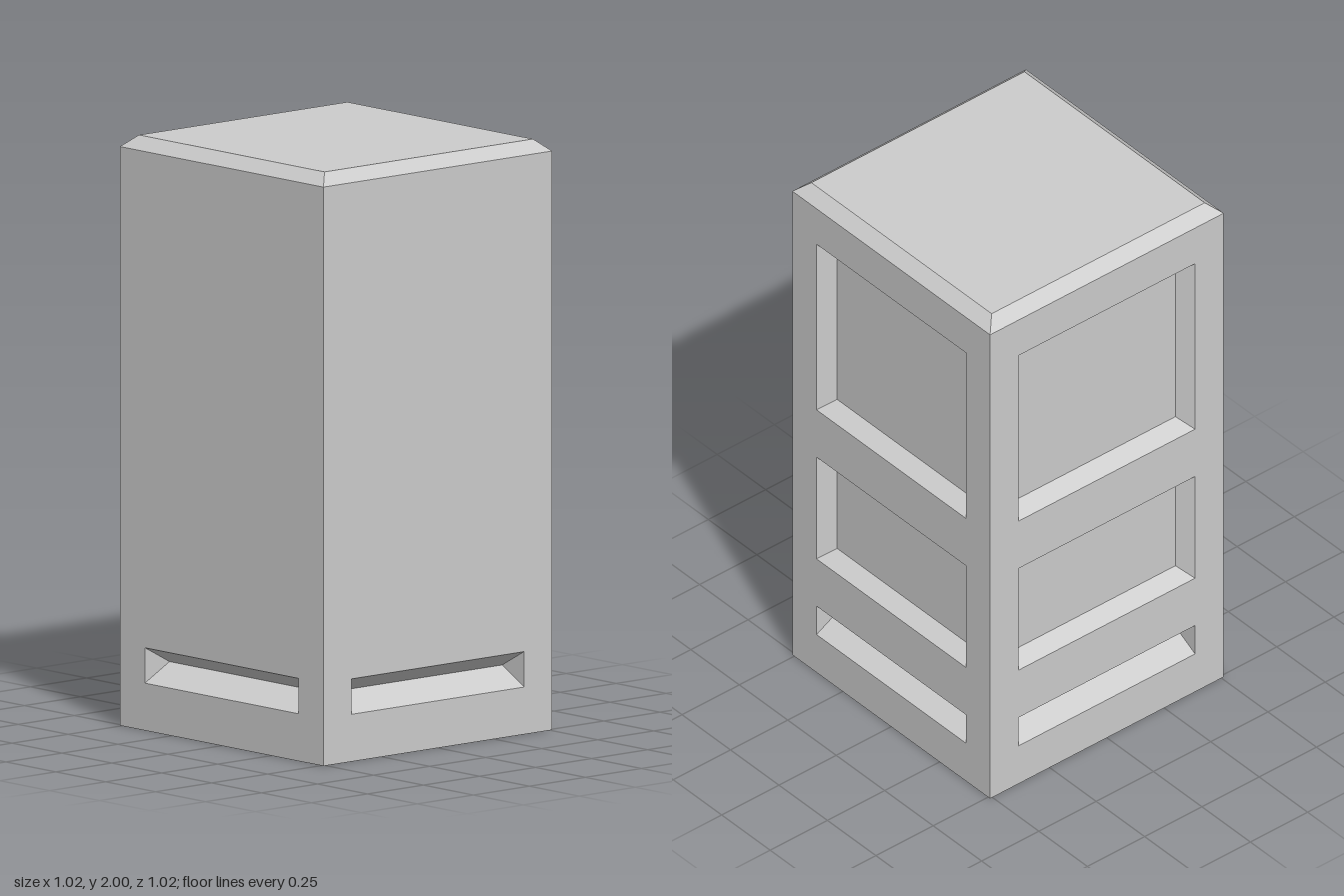
import * as THREE from 'three';

const HALF = 0.51;       // half width of the cabinet
const EAVE = 1.96;       // height where the roof bevel starts
const OPEN = 0.385;      // half width of every opening

// Openings: outer bottom/top, inset of the inner rectangle, depth
const UPPER = { name: 'upperPanel', y0: 1.11, y1: 1.81, insetX: 0.035, insetY: 0.035, depth: 0.06 };
const LOWER = { name: 'lowerPanel', y0: 0.48, y1: 0.91, insetX: 0.035, insetY: 0.035, depth: 0.06 };
const SLOT = { name: 'ventSlot', y0: 0.16, y1: 0.28, insetX: 0, insetY: 0.06, depth: 0.11 };

const rectangle = (w, y0, y1) => [[-w, y0], [w, y0], [w, y1], [-w, y1]];

// Sheet of wall with a hole for each opening
function wallGeometry(openings) {
  const toPoints = (r) => r.map(([x, y]) => new THREE.Vector2(x, y));
  const shape = new THREE.Shape(toPoints(rectangle(HALF, 0, EAVE)));
  for (const o of openings) {
    shape.holes.push(new THREE.Path(toPoints(rectangle(OPEN, o.y0, o.y1)).reverse()));
  }
  return new THREE.ShapeGeometry(shape);
}

// Tapered pocket behind an opening; it closes to a V when the inner rectangle is flat
function recessGeometry({ y0, y1, insetX, insetY, depth }) {
  const outer = rectangle(OPEN, y0, y1).map(([x, y]) => [x, y, 0]);
  const inner = rectangle(OPEN - insetX, y0 + insetY, y1 - insetY).map(([x, y]) => [x, y, -depth]);
  const flat = y1 - y0 - 2 * insetY < 1e-6;
  const positions = [];
  const triangle = (a, b, c) => positions.push(...a, ...b, ...c);
  for (let i = 0; i < 4; i++) {
    const j = (i + 1) % 4;
    triangle(outer[i], outer[j], inner[j]);
    if (!flat || i % 2 === 0) triangle(outer[i], inner[j], inner[i]);
  }
  if (!flat) {
    triangle(inner[0], inner[1], inner[2]);
    triangle(inner[0], inner[2], inner[3]);
  }
  const geometry = new THREE.BufferGeometry();
  geometry.setAttribute('position', new THREE.Float32BufferAttribute(positions, 3));
  geometry.computeVertexNormals();
  return geometry;
}

export function createModel() {
  const model = new THREE.Group();
  model.name = 'cabinet';
  const material = new THREE.MeshStandardMaterial({
    color: 0xcccccc, flatShading: true, side: THREE.DoubleSide,
  });
  const add = (parent, name, geometry) => {
    const mesh = new THREE.Mesh(geometry, material);
    mesh.name = name;
    parent.add(mesh);
    return mesh;
  };

  // Four thin walls, open underneath; two carry recessed panels
  const walls = [
    ['frontWall', 0, [SLOT]],
    ['leftWall', Math.PI / 2, [UPPER, LOWER, SLOT]],
    ['backWall', Math.PI, [UPPER, LOWER, SLOT]],
    ['rightWall', -Math.PI / 2, [SLOT]],
  ];
  for (const [name, turn, openings] of walls) {
    const side = new THREE.Group();
    side.name = name;
    side.rotation.y = turn;
    model.add(side);
    add(side, name + 'Sheet', wallGeometry(openings)).position.z = HALF;
    for (const o of openings) add(side, o.name, recessGeometry(o)).position.z = HALF;
  }

  // Bevelled square roof
  const profile = [[HALF, EAVE], [0.465, 2], [0, 2]]
    .map(([r, y]) => new THREE.Vector2(r * Math.SQRT2, y));
  add(model, 'roof', new THREE.LatheGeometry(profile, 4, Math.PI / 4));

  return model;
}
